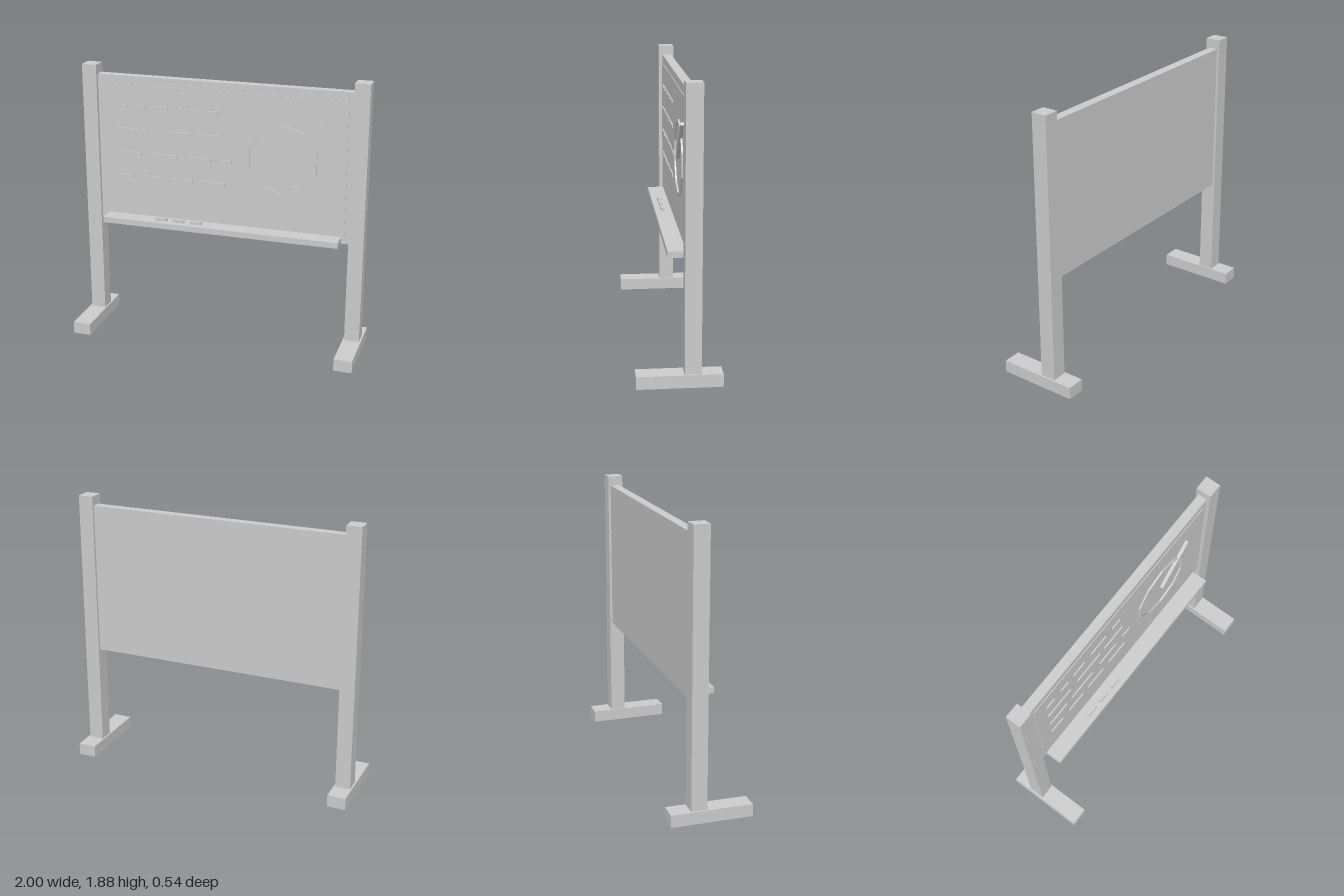
import * as THREE from 'three';

const material = new THREE.MeshStandardMaterial({ color: 0xcccccc, flatShading: true });

export function createModel() {
  const model = new THREE.Group();
  model.name = 'writingBoard';

  function add(name, geometry, parent = model) {
    const mesh = new THREE.Mesh(geometry, material);
    mesh.name = name;
    parent.add(mesh);
    return mesh;
  }

  // Box given by its lower and upper limits on each axis
  function box(name, [x0, x1], [y0, y1], [z0, z1], parent) {
    const mesh = add(name, new THREE.BoxGeometry(x1 - x0, y1 - y0, z1 - z0), parent);
    mesh.position.set((x0 + x1) / 2, (y0 + y1) / 2, (z0 + z1) / 2);
    return mesh;
  }

  // Posts on long feet
  for (const [side, s] of [['left', 1], ['right', -1]]) {
    const span = (a, b) => (s > 0 ? [a, b] : [-b, -a]);
    box(side + 'Foot', span(0.875, 1), [0, 0.083], [-0.27, 0.27]);
    box(side + 'Post', span(0.885, 0.988), [0.083, 1.88], [-0.135, -0.03]);
  }

  // Board, with a slightly raised writing surface
  const front = -0.05;
  box('board', [-0.885, 0.885], [0.778, 1.815], [-0.118, -0.055]);
  box('writingSurface', [-0.852, 0.852], [0.835, 1.758], [-0.06, front]);

  // Chalk tray and chalks
  box('tray', [-0.832, 0.832], [0.785, 0.825], [-0.055, 0.062]);
  for (const x of [-0.418, -0.294, -0.168]) {
    box('chalk', [x - 0.041, x + 0.041], [0.825, 0.847], [-0.002, 0.022]);
  }

  // Rows of written strokes: height, then start and end of each stroke
  const writing = new THREE.Group();
  writing.name = 'writing';
  model.add(writing);
  const rows = [
    [1.607, [[-0.75, -0.675], [-0.61, -0.54], [-0.49, -0.38], [-0.31, -0.165], [-0.1, -0.025]]],
    [1.442, [[-0.75, -0.53], [-0.46, -0.23], [-0.187, 0]]],
    [1.275, [[-0.75, -0.58], [-0.53, -0.32], [-0.24, -0.07], [0, 0.07]]],
    [1.11, [[-0.75, -0.635], [-0.57, -0.425], [-0.37, -0.21], [-0.147, 0.02]]],
  ];
  for (const [y, strokes] of rows) {
    for (const span of strokes) {
      box('stroke', span, [y - 0.011, y + 0.011], [front, -0.041], writing);
    }
  }

  // Ten-sided ring with a vertex at the top
  const decagon = (r) => Array.from({ length: 10 }, (_, i) => {
    const a = Math.PI / 2 + (i * Math.PI) / 5;
    return new THREE.Vector2(r * Math.cos(a), r * Math.sin(a));
  });
  const ring = new THREE.Shape(decagon(0.249));
  ring.holes.push(new THREE.Path(decagon(0.231)));
  const circle = add('drawnCircle',
    new THREE.ExtrudeGeometry(ring, { depth: 0.011, bevelEnabled: false }));
  circle.position.set(0.417, 1.318, front);

  // Slanted line from the middle of the ring outward
  const line = add('drawnLine', new THREE.BoxGeometry(0.375, 0.021, 0.022));
  line.position.set(0.553, 1.452, front + 0.011);
  line.rotation.z = Math.PI / 4;

  return model;
}
